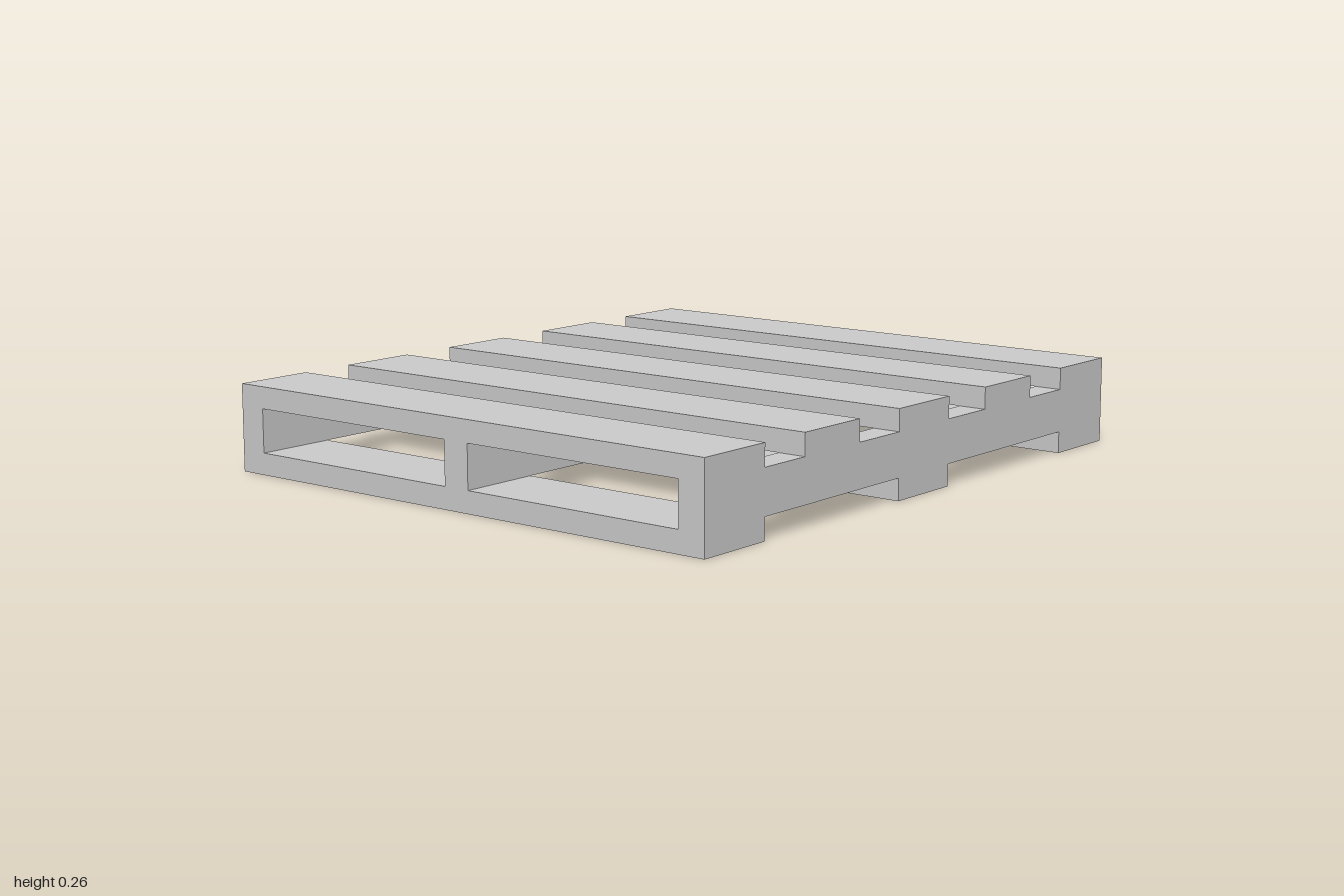
import * as THREE from 'three';

const DEPTH = 1.736, BOARD_W = 0.253, BOARD_H = 0.066, BEAM_H = 0.132, BEAM_W = 0.087;

export function createModel() {
  const pallet = new THREE.Group();
  pallet.name = 'pallet';
  const material = new THREE.MeshStandardMaterial({ color: 0xcccccc, flatShading: true });

  // Box standing on height y
  const addBox = (name, w, h, d, x, y, z) => {
    const mesh = new THREE.Mesh(new THREE.BoxGeometry(w, h, d), material);
    mesh.name = name;
    mesh.position.set(x, y + h / 2, z);
    pallet.add(mesh);
  };

  const edgeX = 1 - BOARD_W / 2;
  const edgeZ = (DEPTH - BEAM_W) / 2;

  // Three bottom runners, front to back
  for (const x of [-edgeX, 0, edgeX]) addBox('bottomBoard', BOARD_W, BOARD_H, DEPTH, x, 0, 0);

  // Three cross beams, side to side
  for (const z of [-edgeZ, 0, edgeZ]) addBox('crossBeam', 2, BEAM_H, BEAM_W, 0, BOARD_H, z);

  // Five deck boards
  for (const x of [-edgeX, -0.445, 0, 0.445, edgeX]) {
    addBox('deckBoard', BOARD_W, BOARD_H, DEPTH, x, BOARD_H + BEAM_H, 0);
  }

  return pallet;
}
